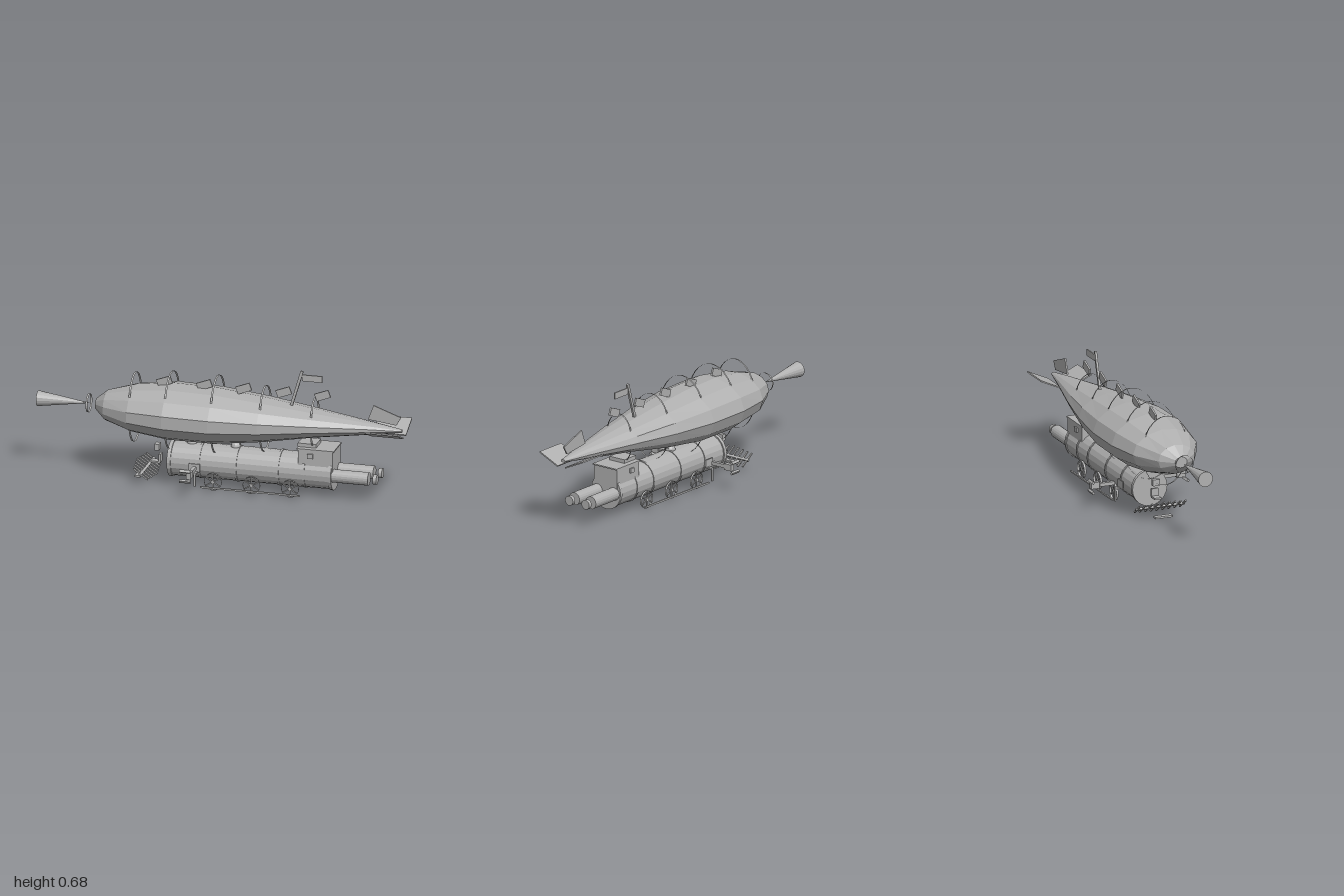
import * as THREE from 'three';

const grey = new THREE.MeshStandardMaterial({ color: 0xb0b0b0, side: THREE.DoubleSide });
grey.name = 'plain grey';

export function createModel() {
  const root = new THREE.Group();
  root.name = 'airship';

  // Faceted mesh at a position
  const add = (name, geometry, x = 0, y = 0, z = 0) => {
    const g = geometry.index ? geometry.toNonIndexed() : geometry;
    g.computeVertexNormals();
    const m = new THREE.Mesh(g, grey);
    m.name = name;
    m.position.set(x, y, z);
    root.add(m);
    return m;
  };
  // Box given by its limits
  const box = (name, x0, x1, y0, y1, z0, z1) =>
    add(name, new THREE.BoxGeometry(x1 - x0, y1 - y0, z1 - z0), (x0 + x1) / 2, (y0 + y1) / 2, (z0 + z1) / 2);
  // Cylinder lying along x, r0 at x0 and r1 at x1
  const tube = (name, x0, x1, y, z, r0, r1 = r0, sides = 20, open = false) =>
    add(name, new THREE.CylinderGeometry(r0, r1, x1 - x0, sides, 1, open).rotateZ(Math.PI / 2), (x0 + x1) / 2, y, z);
  // Thin outline plate in the xy plane
  const plate = (name, points, depth, z = 0) =>
    add(name, new THREE.ExtrudeGeometry(new THREE.Shape(points.map(p => new THREE.Vector2(...p))),
      { depth, bevelEnabled: false }), 0, 0, z - depth / 2);

  // Gas bag: elliptical sections [x, centre y, half height, half width]
  const sections = [
    [-0.68, 0.39, 0.03, 0.035], [-0.62, 0.39, 0.08, 0.105], [-0.47, 0.39, 0.122, 0.185],
    [-0.27, 0.39, 0.147, 0.22], [-0.02, 0.387, 0.144, 0.217], [0.24, 0.389, 0.114, 0.185],
    [0.51, 0.393, 0.072, 0.13], [0.82, 0.392, 0.032, 0.052], [0.985, 0.39, 0.008, 0.014]];
  const sides = 13, pos = [], idx = [];
  for (const [x, y, ry, rz] of sections)
    for (let j = 0; j < sides; j++) {
      const a = j / sides * Math.PI * 2;
      pos.push(x, y + ry * Math.sin(a), -rz * Math.cos(a));
    }
  for (let i = 0; i < sections.length - 1; i++)
    for (let j = 0; j < sides; j++) {
      const k = (j + 1) % sides, a = i * sides, b = a + sides;
      idx.push(a + j, a + k, b + k, a + j, b + k, b + j);
    }
  const last = (sections.length - 1) * sides;
  for (let j = 1; j < sides - 1; j++) idx.push(0, j + 1, j, last, last + j, last + j + 1);
  const bag = new THREE.BufferGeometry();
  bag.setAttribute('position', new THREE.Float32BufferAttribute(pos, 3));
  bag.setIndex(idx);
  add('gasBag', bag);

  // Hoops around the bag: [x, half height, half width]
  for (const [x, ry, rz] of [[-0.47, 0.19, 0.13], [-0.27, 0.213, 0.157], [-0.02, 0.213, 0.152],
    [0.24, 0.18, 0.123], [0.51, 0.137, 0.085]])
    tube('hoop', x - 0.005, x + 0.005, 0.393, 0, 1, 1, 32, true).scale.set(1, ry, rz);

  // Nose cone and ring
  tube('noseCone', -1, -0.72, 0.39, 0, 0.042, 0.001, 16);
  tube('noseRing', -0.727, -0.717, 0.39, 0, 0.05, 0.05, 24, true);

  // Tail fins
  plate('upperFin', [[0.83, 0.52], [0.98, 0.465], [0.955, 0.42], [0.8, 0.44]], 0.008);
  for (const s of [-1, 1])
    add('sideFin', new THREE.BoxGeometry(0.18, 0.007, 0.132), 0.91, 0.387, s * 0.085).rotation.x = -s * 0.43;

  // Mast with banner and the row of pennants
  plate('mast', [[0.375, 0.48], [0.39, 0.48], [0.448, 0.672], [0.433, 0.676]], 0.012);
  box('banner', 0.44, 0.55, 0.62, 0.655, -0.004, 0.004);
  for (const x of [-0.31, -0.092, 0.122, 0.34, 0.552])
    add('pennant', new THREE.BoxGeometry(0.08, 0.042, 0.01), x, 0.548, 0).rotation.z = 0.36;

  // Gondola barrel, end flange and straps
  tube('barrel', -0.26, 0.62, 0.13, 0, 0.093);
  tube('frontFlange', -0.272, -0.252, 0.13, 0, 0.1);
  for (const x of [-0.1, 0.1, 0.33, 0.47]) tube('strap', x - 0.006, x + 0.006, 0.13, 0, 0.097);
  tube('rearFlange', 0.605, 0.622, 0.13, 0, 0.098);
  for (const x of [-0.16, 0.08])
    add('dome', new THREE.SphereGeometry(0.028, 12, 6, 0, Math.PI * 2, 0, Math.PI / 2), x, 0.222, 0);
  box('domeStrap', 0.1, 0.106, 0.2, 0.25, -0.006, 0.006);

  // Cabin with roof and neck
  box('cabin', 0.44, 0.627, 0.13, 0.264, -0.078, 0.078);
  box('roof', 0.432, 0.634, 0.263, 0.27, -0.081, 0.081);
  box('neck', 0.43, 0.53, 0.27, 0.29, -0.05, 0.05);
  for (const s of [-1, 1]) box('cabinLug', 0.49, 0.52, 0.22, 0.245, s * 0.082 - 0.005, s * 0.082 + 0.005);

  for (const s of [-1, 1]) {
    // Exhausts
    tube('exhaust', 0.6, 0.82, 0.127, s * 0.055, 0.035);
    tube('exhaustCap', 0.845, 0.865, 0.127, s * 0.055, 0.026);

    // Wheels: open rim, spokes, hub and hanger
    for (const x of [-0.02, 0.19, 0.4]) {
      add('wheelRim', new THREE.CylinderGeometry(0.047, 0.047, 0.012, 20, 1, true).rotateX(Math.PI / 2), x, 0.047, s * 0.096);
      for (let i = 0; i < 3; i++)
        add('spoke', new THREE.BoxGeometry(0.006, 0.092, 0.006), x, 0.047, s * 0.096).rotation.z = i * Math.PI / 3;
      add('hub', new THREE.CylinderGeometry(0.01, 0.01, 0.014, 10).rotateX(Math.PI / 2), x, 0.047, s * 0.096);
    }
    box('couplingRod', -0.08, 0.46, 0.02, 0.029, s * 0.131 - 0.004, s * 0.131 + 0.004);
    box('hangerArm', -0.12, -0.1, 0.092, 0.1, s * 0.117 - 0.017, s * 0.117 + 0.017);
    box('hanger', -0.115, -0.105, 0.025, 0.095, s * 0.13 - 0.004, s * 0.13 + 0.004);
    box('sideRail', -0.15, -0.09, 0.095, 0.14, s * 0.102 - 0.003, s * 0.102 + 0.003);

    // Outrigger engine with blades
    box('outriggerArm', -0.12, -0.1, 0.118, 0.137, s * 0.178 - 0.043, s * 0.178 + 0.043);
    box('outriggerEngine', -0.12, -0.095, 0.11, 0.145, s * 0.246 - 0.024, s * 0.246 + 0.024);
    for (const t of [-1, 1])
      add('blade', new THREE.BoxGeometry(0.06, 0.015, 0.012), -0.125, 0.127 + t * 0.028, s * 0.272).rotation.x = -s * t * 0.55;
  }

  // Lamp and buffer ahead of the barrel
  box('lamp', -0.36, -0.335, 0.165, 0.2, -0.02, 0.02);
  box('bufferArm', -0.38, -0.33, 0.095, 0.105, -0.02, 0.02);
  box('bufferPost', -0.338, -0.326, 0.1, 0.145, -0.02, 0.02);

  // Slanted front guard: beam with slats
  for (const z of [-0.13, -0.1, -0.066, -0.033, 0, 0.033, 0.066, 0.1, 0.13])
    add('guardSlat', new THREE.BoxGeometry(0.135 - Math.abs(z) * 0.3, 0.008, 0.008), -0.405, 0.066, z).rotation.z = -0.61;
  add('guardBeam', new THREE.BoxGeometry(0.014, 0.01, 0.28), -0.405, 0.066, 0).rotation.z = -0.61;
  box('guardFoot', -0.46, -0.43, 0.017, 0.027, -0.05, 0.05);

  return root;
}
